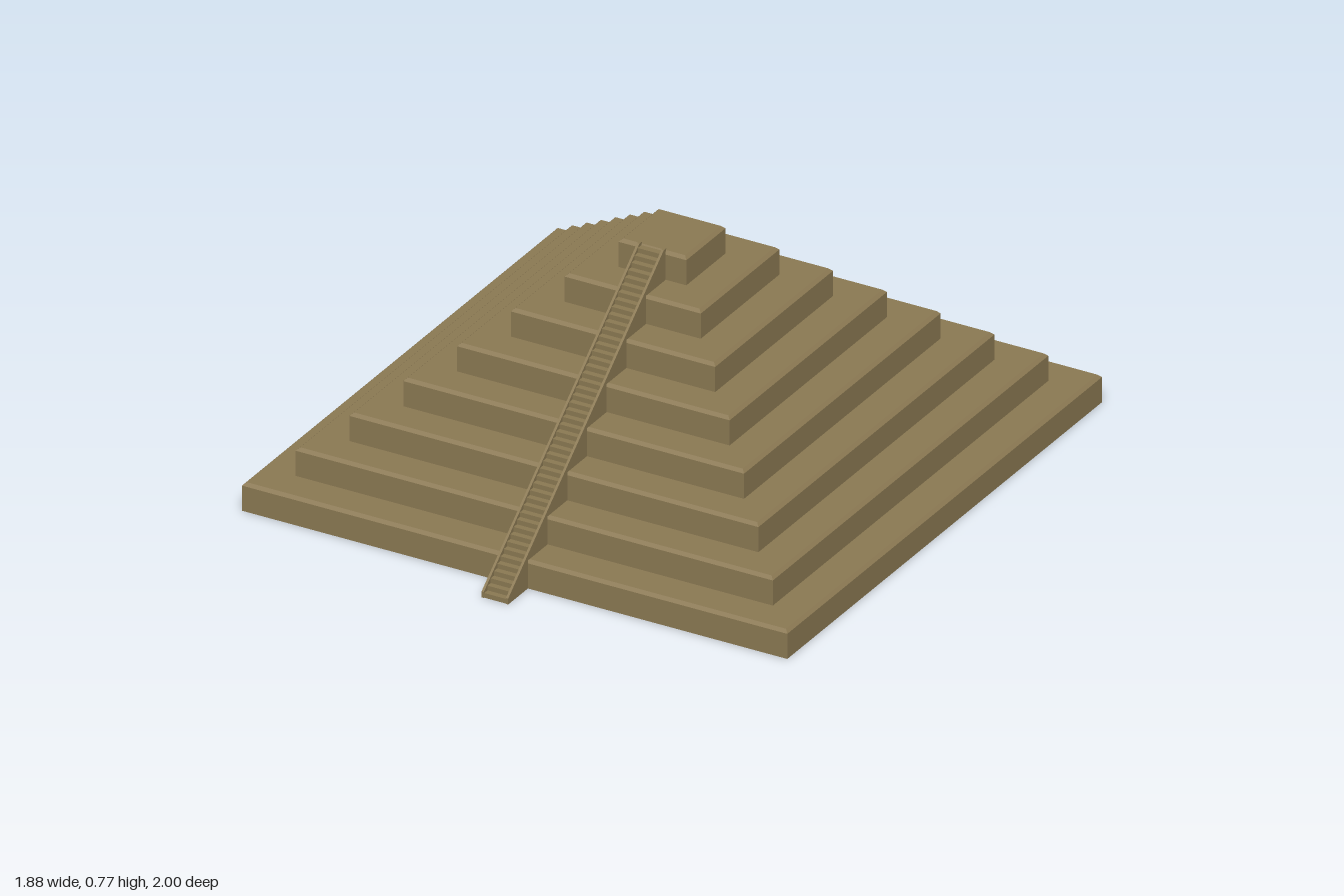
import * as THREE from 'three';

const TIERS = 8, RISE = 0.095, INSET = 0.1177, BASE = 0.941, CENTRE_Z = -0.059;
const half = (i) => BASE - INSET * i;

// Extrudes a (z, y) profile across x, centred on the given x
function extrudeAcross(points, width, x) {
  const shape = new THREE.Shape(points.map(([z, y]) => new THREE.Vector2(z, y)));
  const g = new THREE.ExtrudeGeometry(shape, { depth: width, bevelEnabled: false });
  g.translate(0, 0, -width / 2);
  g.rotateY(-Math.PI / 2);
  g.translate(x, 0, 0);
  return g;
}

export function createModel() {
  const model = new THREE.Group();
  model.name = 'steppedPyramid';
  const stone = new THREE.MeshStandardMaterial({ color: 0x8b7953, side: THREE.DoubleSide });
  stone.name = 'sandstone';
  const add = (name, geometry, parent = model) => {
    const mesh = new THREE.Mesh(geometry, stone);
    mesh.name = name;
    parent.add(mesh);
    return mesh;
  };

  // Hollow square tiers with a chamfered upper edge
  for (let i = 0; i < TIERS; i++) {
    const r = half(i), y = i * RISE, top = y + RISE, c = 0.01;
    const inner = i === TIERS - 1 ? 0 : half(i + 1);
    const profile = [[r, y], [r, top - c], [r - c, top], [inner, top]]
      .map(([a, b]) => new THREE.Vector2(a * Math.SQRT2, b));
    const g = new THREE.LatheGeometry(profile, 4, Math.PI / 4).toNonIndexed();
    g.computeVertexNormals();
    g.translate(0, 0, CENTRE_Z);
    add('tier' + (i + 1), g);
  }

  // Underside of the stairway, following the tiers from the top down
  const underside = [];
  for (let i = TIERS - 1; i >= 0; i--) {
    const z = CENTRE_Z + half(i);
    underside.push([z, (i + 1) * RISE], [z, i * RISE]);
  }

  const stairway = new THREE.Group();
  stairway.name = 'stairway';
  model.add(stairway);

  // Sloping side walls
  const wall = [[1, 0], [1, 0.02], [0.07, 0.77], [0.054, 0.77], ...underside];
  for (const side of [-1, 1]) {
    add(side > 0 ? 'leftStairWall' : 'rightStairWall', extrudeAcross(wall, 0.008, side * 0.042), stairway);
  }

  // Narrow steps between the walls
  const steps = 48, stepRise = 0.76 / steps, run = (0.998 - 0.06) / steps;
  const flight = [[0.998, 0]];
  for (let s = 0; s < steps; s++) {
    const z = 0.998 - s * run;
    flight.push([z, (s + 1) * stepRise], [z - run, (s + 1) * stepRise]);
  }
  add('steps', extrudeAcross([...flight, ...underside], 0.077, 0), stairway);

  return model;
}
